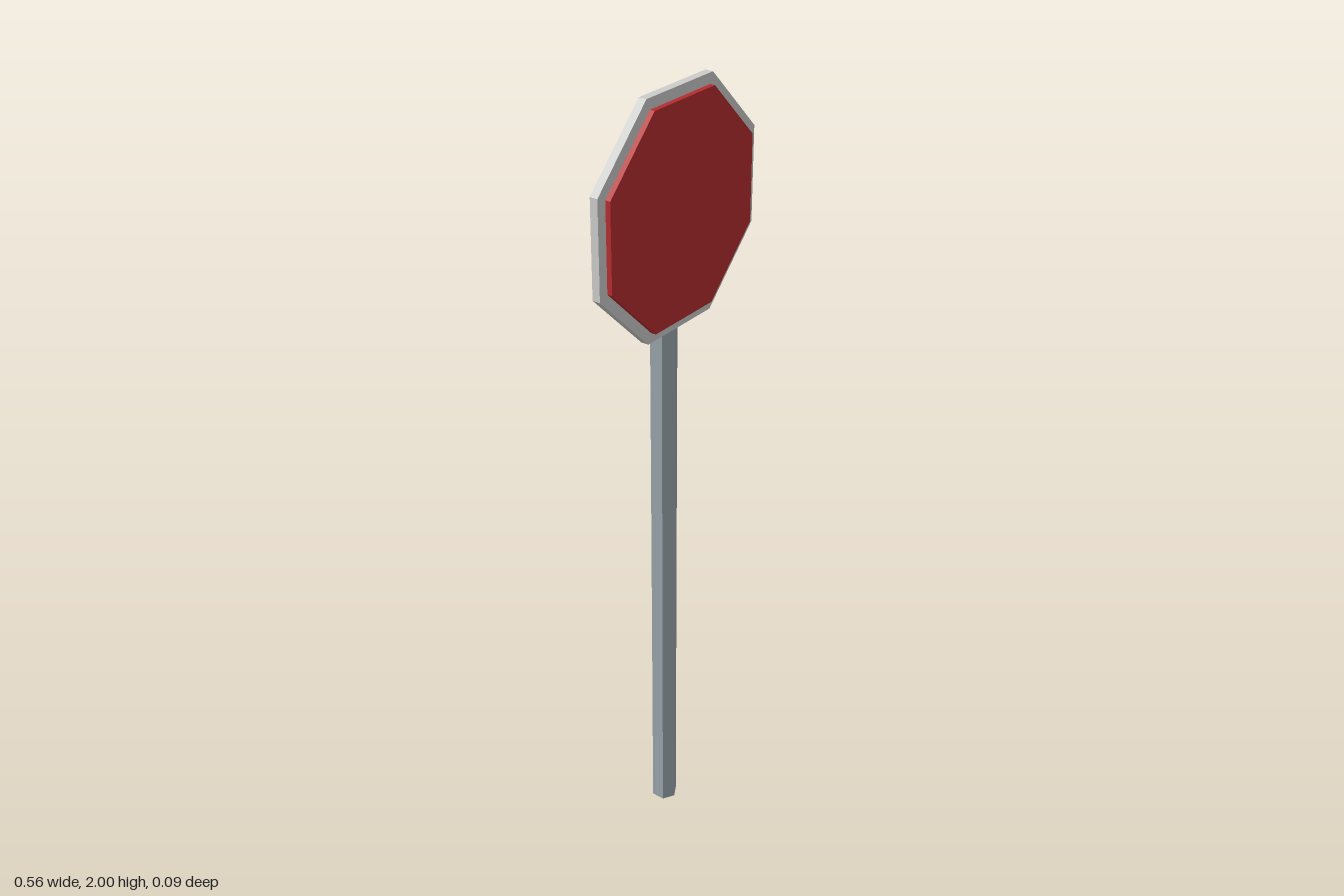
import * as THREE from 'three';

const material = (name, color) => {
  const m = new THREE.MeshStandardMaterial({ color, flatShading: true });
  m.name = name;
  return m;
};

export function createModel() {
  const group = new THREE.Group();
  group.name = 'roadSign';
  const steel = material('steel grey', 0x98a3aa);
  const white = material('off white', 0xcccccb);
  const red = material('sign red', 0xb52d2f);

  const add = (name, geometry, mat, y, z) => {
    const mesh = new THREE.Mesh(geometry, mat);
    mesh.name = name;
    mesh.position.set(0, y, z);
    group.add(mesh);
  };

  // Flat-topped octagonal plate facing +z, sized by its half width
  const octagon = (half, depth) => {
    const r = half / Math.cos(Math.PI / 8);
    return new THREE.CylinderGeometry(r, r, depth, 8, 1, false, Math.PI / 8)
      .rotateX(Math.PI / 2);
  };

  // Hexagonal pole with corners at front and back
  add('pole', new THREE.CylinderGeometry(0.034, 0.034, 1.86, 6), steel, 0.93, -0.013);

  // Pale backing plate, and the red face standing proud of it
  add('backingPlate', octagon(0.279, 0.02), white, 1.721, 0.022);
  add('signFace', octagon(0.254, 0.015), red, 1.721, 0.0375);

  return group;
}
